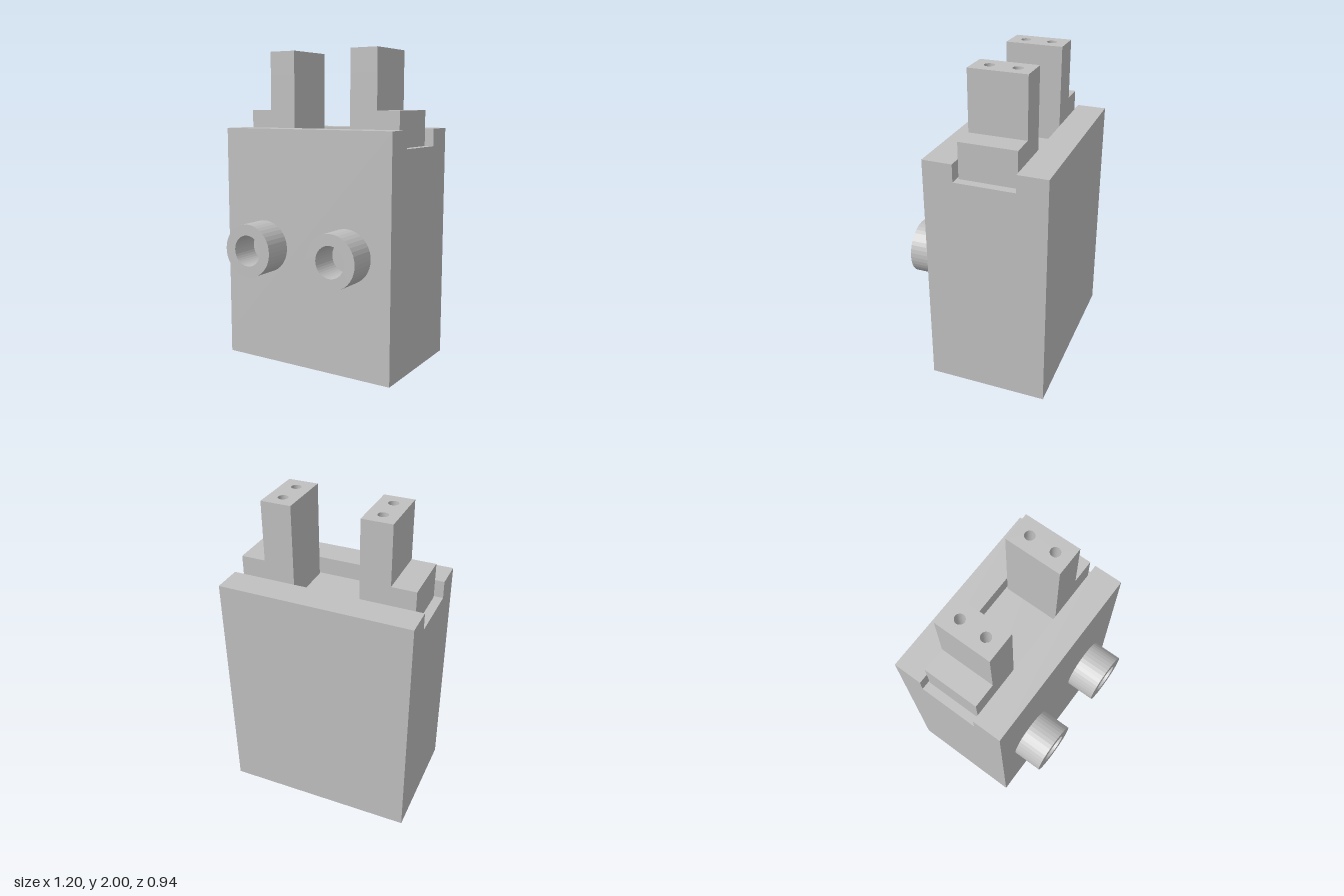
import * as THREE from 'three';

export function createModel() {
  const model = new THREE.Group();
  model.name = 'parallelGripper';
  const metal = new THREE.MeshStandardMaterial({ color: 0xc0c0c0, flatShading: true });
  metal.name = 'light grey metal';

  const add = (parent, name, geometry) => {
    const mesh = new THREE.Mesh(geometry, metal);
    mesh.name = name;
    parent.add(mesh);
    return mesh;
  };
  const polygon = (pts) => new THREE.Shape(pts.map(([x, y]) => new THREE.Vector2(x, y)));
  const circle = (x, y, r, Type) => {
    const c = new Type();
    c.absarc(x, y, r, 0, Math.PI * 2, false);
    return c;
  };
  const extrude = (shape, depth, curveSegments = 20) =>
    new THREE.ExtrudeGeometry(shape, { depth, curveSegments, bevelEnabled: false });

  // Horizontal slab from y0 to y1 with blind round holes [x, z, radius]
  const drilledSlab = (x0, x1, z0, z1, y0, y1, holes) => {
    const shape = polygon([[x0, -z1], [x1, -z1], [x1, -z0], [x0, -z0]]);
    for (const [x, z, r] of holes) shape.holes.push(circle(x, -z, r, THREE.Path));
    return extrude(shape, y1 - y0, 16).rotateX(-Math.PI / 2).translate(0, y0, 0);
  };

  const W = 0.602, BACK = -0.47, FRONT = 0.282, TOP = 1.51, SLOT = 1.4;
  const BASE = 0.15;

  // Body: drilled base with a slotted block above it
  const body = new THREE.Group();
  body.name = 'body';
  model.add(body);
  const baseHoles = [];
  for (const x of [-0.375, 0.375])
    for (const z of [-0.33, 0.14]) baseHoles.push([x, z, 0.042]);
  add(body, 'drilledBase', drilledSlab(-W, W, BACK, FRONT, 0, BASE, baseHoles));

  const section = polygon([
    [-FRONT, BASE], [-BACK, BASE], [-BACK, TOP], [0.284, TOP],
    [0.284, SLOT], [-0.095, SLOT], [-0.095, TOP], [-FRONT, TOP],
  ]);
  add(body, 'slottedBlock',
    extrude(section, 2 * W).rotateY(Math.PI / 2).translate(-W, 0, 0));

  for (const side of [-1, 1]) {
    const label = side > 0 ? 'left' : 'right';

    // Sliding jaw: L-shaped carriage, its finger tip drilled from above
    const jaw = new THREE.Group();
    jaw.name = label + 'Jaw';
    model.add(jaw);
    const inner = 0.208, outer = 0.395, foot = 0.547, z0 = -0.274, z1 = 0.083;
    const drillTop = 1.85;
    const profile = polygon([
      [inner, SLOT], [foot, SLOT], [foot, 1.625],
      [outer, 1.625], [outer, drillTop], [inner, drillTop],
    ].map(([x, y]) => [side * x, y]));
    add(jaw, 'jawCarriage', extrude(profile, z1 - z0).translate(0, 0, z0));
    const xs = [side * inner, side * outer].sort((a, b) => a - b);
    add(jaw, 'jawTip', drilledSlab(xs[0], xs[1], z0, z1, drillTop, 2,
      [-0.18, -0.012].map((z) => [side * 0.301, z, 0.031])));

    // Round port on the front face
    const ring = circle(0, 0, 0.168, THREE.Shape);
    ring.holes.push(circle(0, 0, 0.098, THREE.Path));
    const port = add(model, label + 'Port', extrude(ring, 0.47 - FRONT));
    port.position.set(side * 0.302, 0.757, FRONT);
  }
  return model;
}
